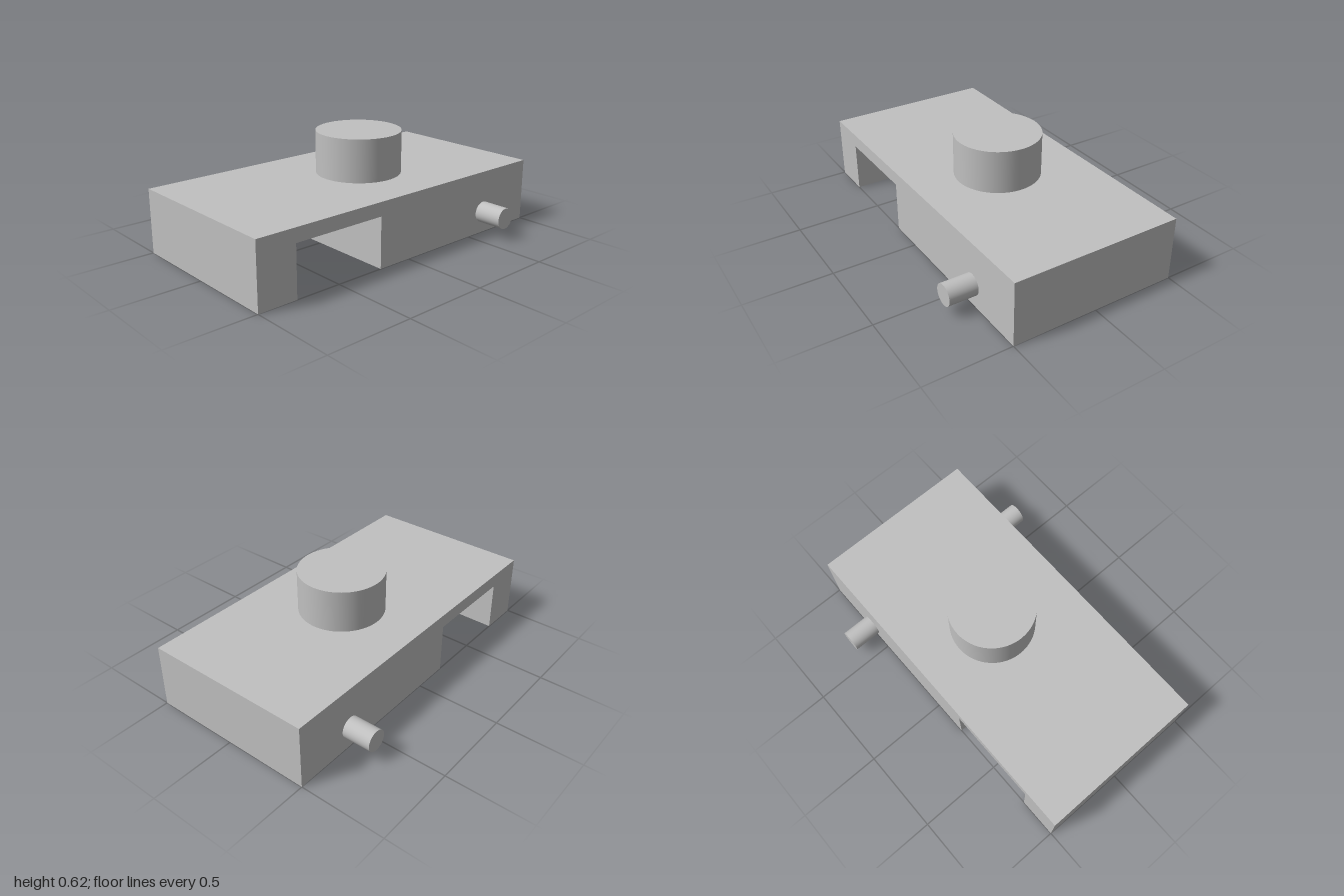
import * as THREE from 'three';

export function createModel() {
  const model = new THREE.Group();
  const grey = new THREE.MeshStandardMaterial({ color: 0xc0c0c0 });
  grey.name = 'plain grey';

  const add = (name, geometry, x, y, z) => {
    const mesh = new THREE.Mesh(geometry, grey);
    mesh.name = name;
    mesh.position.set(x, y, z);
    model.add(mesh);
    return mesh;
  };

  // Body: side profile as [z, y], with a notch under the front, extruded across x
  const profile = [
    [-1, 0], [0.208, 0], [0.208, 0.295], [0.768, 0.295],
    [0.768, 0], [1, 0], [1, 0.375], [-1, 0.375],
  ];
  const shape = new THREE.Shape(profile.map(([z, y]) => new THREE.Vector2(-z, y)));
  const body = new THREE.ExtrudeGeometry(shape, { depth: 1, bevelEnabled: false });
  body.translate(0, 0, -0.5).rotateY(Math.PI / 2);
  add('body', body, 0, 0, 0);

  // Round boss on the top
  add('topBoss', new THREE.CylinderGeometry(0.248, 0.248, 0.25, 64), 0, 0.5, -0.085);

  // Pegs on both sides near the back
  for (const [name, side] of [['leftPeg', 1], ['rightPeg', -1]]) {
    const peg = new THREE.CylinderGeometry(0.062, 0.062, 0.167, 48).rotateZ(Math.PI / 2);
    add(name, peg, side * 0.5835, 0.128, -0.625);
  }

  return model;
}
